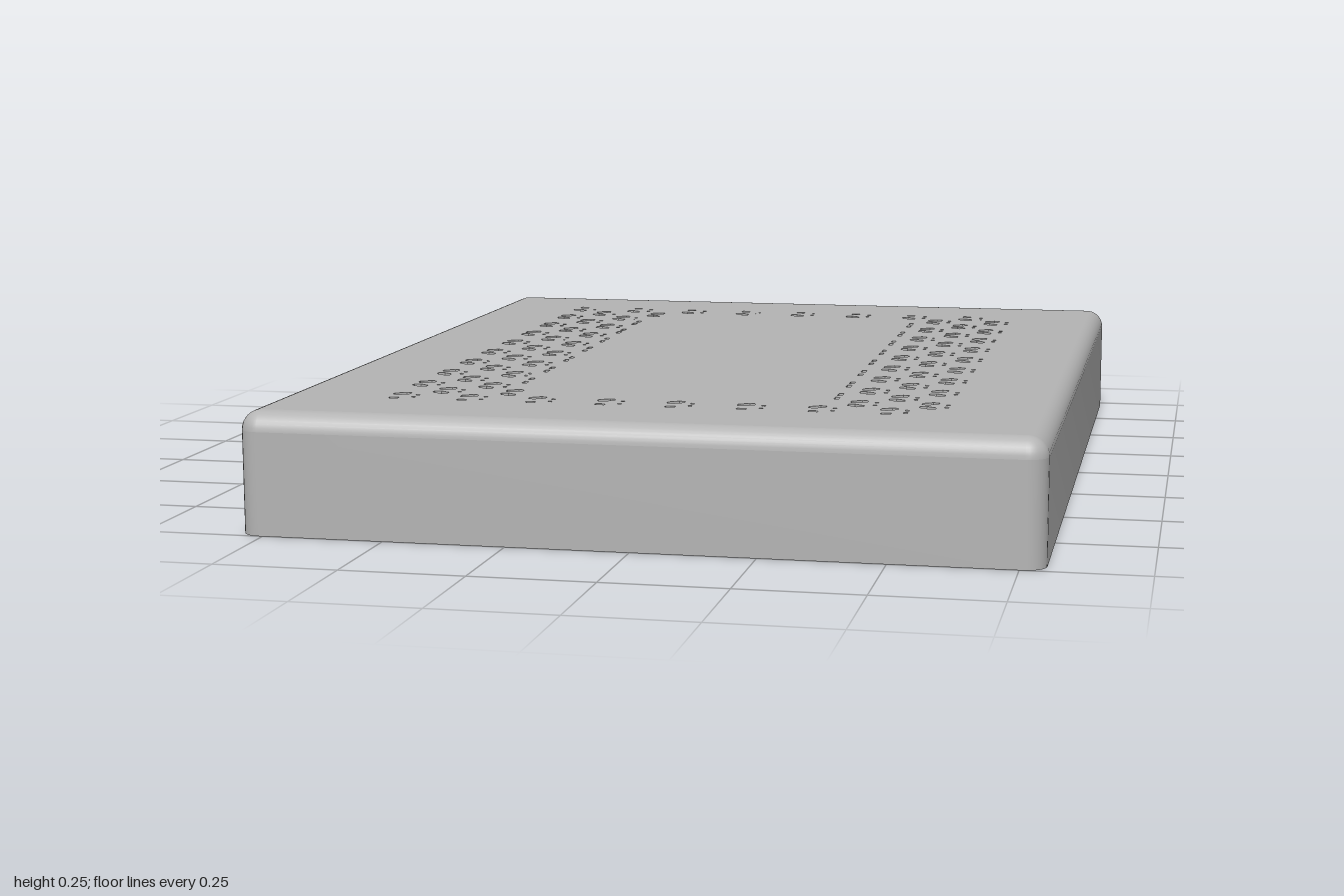
import * as THREE from 'three';
import { toCreasedNormals } from 'three/addons/utils/BufferGeometryUtils.js';

const HX = 0.8, HZ = 1, H = 0.25;      // outer half sizes and height
const WALL = 0.04, EDGE = 0.04;        // wall thickness, rounded edge radius
const CEILING = 0.16, SKIN = 0.23;     // underside of the plate, top of the pockets

const v2 = (x, z) => new THREE.Vector2(x, z);

// Rounded rectangle outline, 8 steps per corner
function outline(hx, hz, r) {
  const pts = [];
  [[1, 1], [-1, 1], [-1, -1], [1, -1]].forEach(([sx, sz], q) => {
    for (let i = 0; i <= 8; i++) {
      const a = (q + i / 8) * Math.PI / 2;
      pts.push(v2(sx * (hx - r) + r * Math.cos(a), sz * (hz - r) + r * Math.sin(a)));
    }
  });
  return pts;
}

// Horizontal slab between two heights, with holes
function slab(points, holes, y0, y1) {
  const shape = new THREE.Shape(points);
  shape.holes = holes.map(h => new THREE.Path(h));
  const g = new THREE.ExtrudeGeometry(shape, { depth: y1 - y0, bevelEnabled: false });
  g.rotateX(Math.PI / 2).translate(0, y1, 0);
  return toCreasedNormals(g, 0.6);
}

// Rounded top edge, lofted through shrinking outlines
function roundedEdge() {
  const pos = [], idx = [], steps = 8, n = 36;
  for (let j = 0; j <= steps; j++) {
    const a = j / steps * Math.PI / 2, inset = EDGE * (1 - Math.cos(a));
    for (const p of outline(HX - inset, HZ - inset, EDGE + 0.002 - inset))
      pos.push(p.x, H - EDGE + EDGE * Math.sin(a), p.y);
  }
  for (let j = 0; j < steps; j++) for (let i = 0; i < n; i++) {
    const a = j * n + i, b = j * n + (i + 1) % n;
    idx.push(a, a + n, b, b, a + n, b + n);
  }
  const g = new THREE.BufferGeometry();
  g.setAttribute('position', new THREE.Float32BufferAttribute(pos, 3));
  g.setIndex(idx);
  g.computeVertexNormals();
  return g;
}

// Small perforations in staggered columns around the solid centre
function perforations() {
  const holes = [];
  const box = (x, z, w, d) => holes.push([v2(x - w, z - d), v2(x + w, z - d), v2(x + w, z + d), v2(x - w, z + d)]);
  const slanted = (x, z, s) => holes.push(
    [[-0.017, 0.012], [-0.017, -0.001], [0.004, -0.016], [0.017, -0.012], [0.017, 0.001], [-0.004, 0.016]]
      .map(([px, pz]) => v2(x + px, z + s * pz)));
  for (let i = 0; i < 16; i++) {
    const x = -0.55 + 0.0725 * i, odd = i % 2, rows = odd ? 9 : 10;
    for (let k = 0; k < rows; k++) {
      const z = (k - (rows - 1) / 2) * 0.1645, end = k === 0 || k === rows - 1;
      const side = i < 4 || i > 11;
      if (!side && (odd || !end)) continue;
      const inner = (i === 3 || i === 12) && !end;
      for (const s of [-1, 1]) {
        if (inner) box(i === 3 ? -0.343 : 0.341, z + s * 0.024, 0.005, 0.012);
        else if (!odd && end && s * z > 0) box(x, z + s * 0.029, 0.01, 0.006);
        else slanted(x, z + s * 0.025, -s);
        if (!inner && i !== 3) box(x + 0.037, z + s * 0.015, 0.004, 0.004);
      }
    }
  }
  return holes;
}

// Hexagonal blind pockets on the underside: rows of four and five
function pockets() {
  const holes = [];
  for (let row = -5; row <= 5; row++) {
    const count = row % 2 ? 4 : 5;
    for (let i = 0; i < count; i++) {
      const x = (i - (count - 1) / 2) * 0.145, z = row * 0.1256;
      holes.push(Array.from({ length: 6 }, (_, k) => {
        const a = (k + 0.5) * Math.PI / 3;
        return v2(x + 0.05 * Math.cos(a), z + 0.05 * Math.sin(a));
      }));
    }
  }
  return holes;
}

export function createModel() {
  const group = new THREE.Group();
  const grey = new THREE.MeshStandardMaterial({ color: 0xb4b4b4 });
  grey.name = 'grey';
  const add = (name, geometry) => {
    const mesh = new THREE.Mesh(geometry, grey);
    mesh.name = name;
    group.add(mesh);
    return mesh;
  };

  const inside = outline(HX - WALL, HZ - WALL, 0.005);
  const small = perforations();
  add('sideWalls', slab(outline(HX, HZ, EDGE + 0.002), [inside], 0, H - EDGE));
  add('roundedEdge', roundedEdge());
  add('topSkin', slab(outline(HX - EDGE, HZ - EDGE, 0.002), small, SKIN, H));
  add('pocketPlate', slab(inside, [...small, ...pockets()], CEILING, SKIN));

  // Snap bumps on the inner side walls
  for (const sx of [-1, 1]) for (const z of [-0.5, 0.5]) {
    const bump = add('snapBump', new THREE.SphereGeometry(0.027, 16, 12));
    bump.scale.x = 0.6;
    bump.position.set(sx * (HX - WALL), 0.08, z);
  }
  return group;
}
